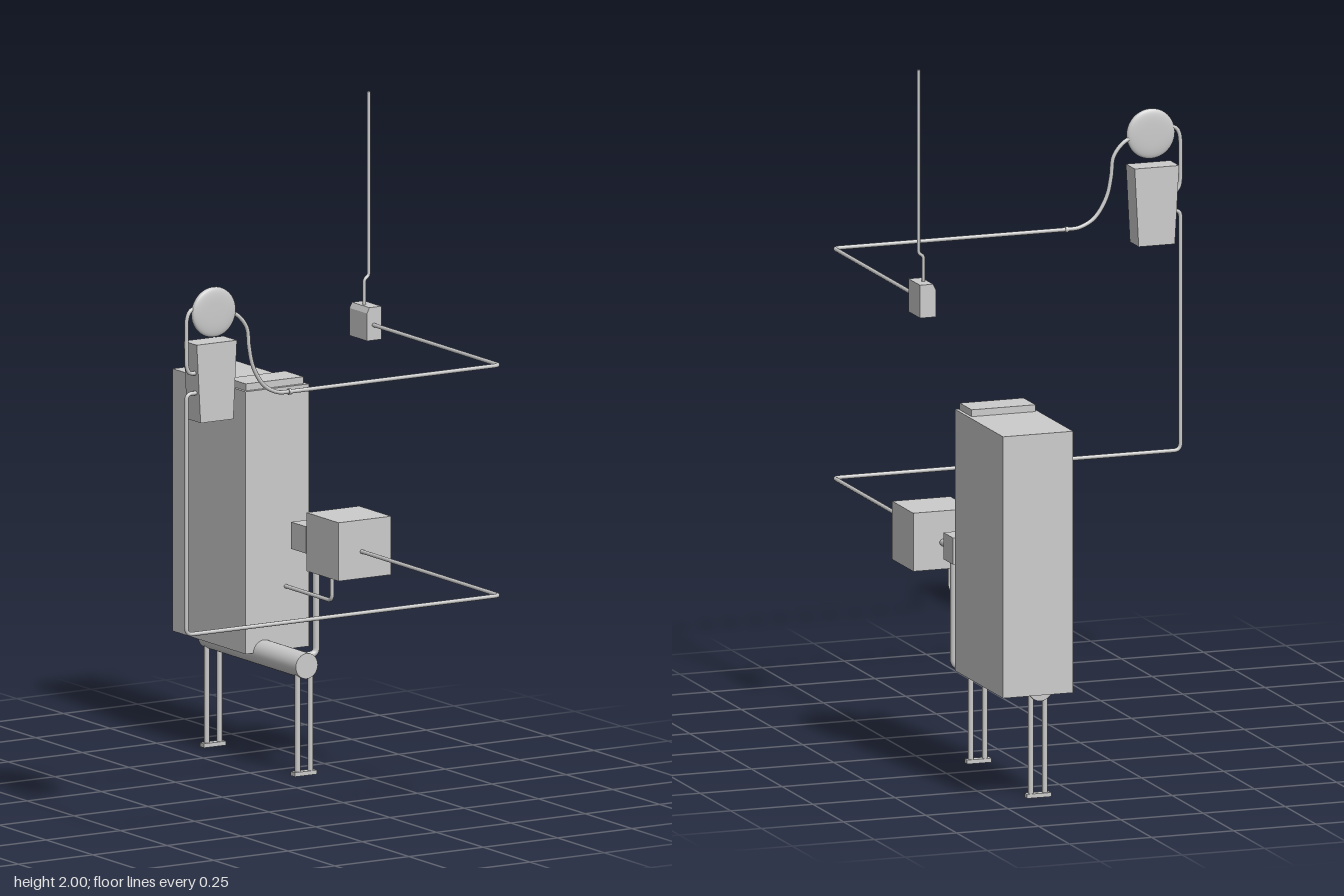
import * as THREE from 'three';
import { mergeGeometries } from 'three/addons/utils/BufferGeometryUtils.js';

const grey = new THREE.MeshStandardMaterial({ color: 0xcccccc, side: THREE.DoubleSide });
const V = (x, y, z) => new THREE.Vector3(x, y, z);

export function createModel() {
  const model = new THREE.Group();
  const add = (name, geometry, x = 0, y = 0, z = 0, parent = model) => {
    const mesh = new THREE.Mesh(geometry, grey);
    mesh.name = name;
    mesh.position.set(x, y, z);
    parent.add(mesh);
    return mesh;
  };
  // Box given by its limits on each axis
  const box = (name, [x0, x1], [y0, y1], [z0, z1], parent) =>
    add(name, new THREE.BoxGeometry(x1 - x0, y1 - y0, z1 - z0),
      (x0 + x1) / 2, (y0 + y1) / 2, (z0 + z1) / 2, parent);
  // Pipe along straight runs with rounded corners
  const pipe = (name, points, radius, bend = 0.02) => {
    const pts = points.map((p) => V(...p));
    const parts = [];
    const tube = (curve, n) => parts.push(new THREE.TubeGeometry(curve, n, radius, 10));
    let from = pts[0];
    for (let i = 1; i < pts.length - 1; i++) {
      const p = pts[i];
      const toward = (q) => p.clone().add(q.clone().sub(p).setLength(Math.min(bend, p.distanceTo(q) * 0.49)));
      const a = toward(pts[i - 1]), b = toward(pts[i + 1]);
      tube(new THREE.LineCurve3(from, a), 1);
      tube(new THREE.QuadraticBezierCurve3(a, p, b), 6);
      from = b;
    }
    tube(new THREE.LineCurve3(from, pts[pts.length - 1]), 1);
    return add(name, mergeGeometries(parts));
  };

  // Cabinet in two sections with a shallow lid
  const cabinet = new THREE.Group();
  cabinet.name = 'cabinet';
  model.add(cabinet);
  box('cabinetRear', [0.30, 0.513], [0.322, 1.085], [-0.745, -0.48], cabinet);
  box('cabinetFront', [0.30, 0.513], [0.322, 1.085], [-0.48, -0.354], cabinet);
  box('cabinetLid', [0.309, 0.503], [1.085, 1.105], [-0.463, -0.366], cabinet);

  // Horizontal tank carried on two pairs of legs
  add('tank', new THREE.CylinderGeometry(0.037, 0.037, 0.525, 32).rotateX(Math.PI / 2), 0.363, 0.32, -0.388);
  for (const z of [-0.145, -0.632]) {
    const stand = new THREE.Group();
    stand.name = 'legPair';
    model.add(stand);
    for (const x of [0.344, 0.387])
      add('leg', new THREE.CylinderGeometry(0.008, 0.008, 0.30, 12), x, 0.155, z, stand);
    box('foot', [0.328, 0.402], [0, 0.012], [z - 0.011, z + 0.011], stand);
  }

  // Control box, valve box and their plumbing
  box('controlBox', [0.40, 0.577], [0.582, 0.752], [-0.186, -0.014]);
  box('valveBox', [0.427, 0.503], [0.622, 0.70], [-0.312, -0.233]);
  pipe('connectorPipe', [[0.487, 0.66, -0.18], [0.487, 0.66, -0.24]], 0.01);
  pipe('valvePipe', [[0.487, 0.63, -0.273], [0.487, 0.316, -0.273], [0.38, 0.316, -0.273]], 0.01);
  pipe('cabinetPipe', [[0.436, 0.60, -0.107], [0.436, 0.505, -0.107], [0.436, 0.505, -0.36]], 0.006);

  // Tapered dispenser body
  const body = new THREE.Shape([[-0.553, 1.503], [-0.54, 1.275], [-0.43, 1.275], [-0.418, 1.503]]
    .map((p) => new THREE.Vector2(...p)));
  add('dispenser', new THREE.ExtrudeGeometry(body, { depth: 0.072, bevelEnabled: false }), 0, 0, 0.672);

  // Round disc with softly curved faces
  const rim = [];
  for (let i = 0; i <= 16; i++) {
    const a = -Math.PI / 2 + (i / 16) * Math.PI;
    rim.push(new THREE.Vector2(0.073 * Math.max(0, Math.cos(a)) ** 0.6,
      0.013 * Math.sign(Math.sin(a)) * Math.abs(Math.sin(a)) ** 0.7));
  }
  add('disc', new THREE.LatheGeometry(rim, 40).rotateX(Math.PI / 2), -0.487, 1.59, 0.728);

  // Lower line from the control box to the dispenser
  const z = 0.726;
  pipe('lowerLine', [[0.478, 0.66, -0.02], [0.478, 0.66, z], [-0.577, 0.66, z],
    [-0.577, 1.36, z], [-0.54, 1.36, z]], 0.006);

  // Hose between dispenser and disc, then down to the upper line
  pipe('shortHose', [[-0.54, 1.418, z], [-0.577, 1.418, z], [-0.577, 1.60, z], [-0.53, 1.612, z]], 0.006, 0.045);
  const drop = [[-0.43, 1.585], [-0.40, 1.567], [-0.373, 1.53], [-0.366, 1.475], [-0.352, 1.415],
    [-0.315, 1.357], [-0.27, 1.333], [-0.23, 1.33]].map(([x, y]) => V(x, y, z));
  add('curvedHose', new THREE.TubeGeometry(new THREE.CatmullRomCurve3(drop), 40, 0.006, 10));
  add('hoseJoint', new THREE.CylinderGeometry(0.009, 0.009, 0.008, 12).rotateZ(Math.PI / 2), -0.23, 1.33, z);
  pipe('upperLine', [[-0.23, 1.33, z], [0.478, 1.33, z], [0.478, 1.33, 0.04]], 0.006);

  // Junction box with a clipped corner
  const outline = new THREE.Shape([[0.455, 1.286], [0.503, 1.286], [0.503, 1.382], [0.463, 1.382], [0.455, 1.366]]
    .map((p) => new THREE.Vector2(...p)));
  add('junctionBox', new THREE.ExtrudeGeometry(outline, { depth: 0.094, bevelEnabled: false }), 0, 0, -0.043);

  // Upright line with a small jog
  pipe('uprightLine', [[0.475, 1.37, 0.004], [0.475, 1.455, 0.004], [0.49, 1.465, 0.004], [0.49, 2, 0.004]], 0.005, 0.008);
  add('uprightEnd', new THREE.CircleGeometry(0.005, 10).rotateX(-Math.PI / 2), 0.49, 2, 0.004);

  return model;
}
